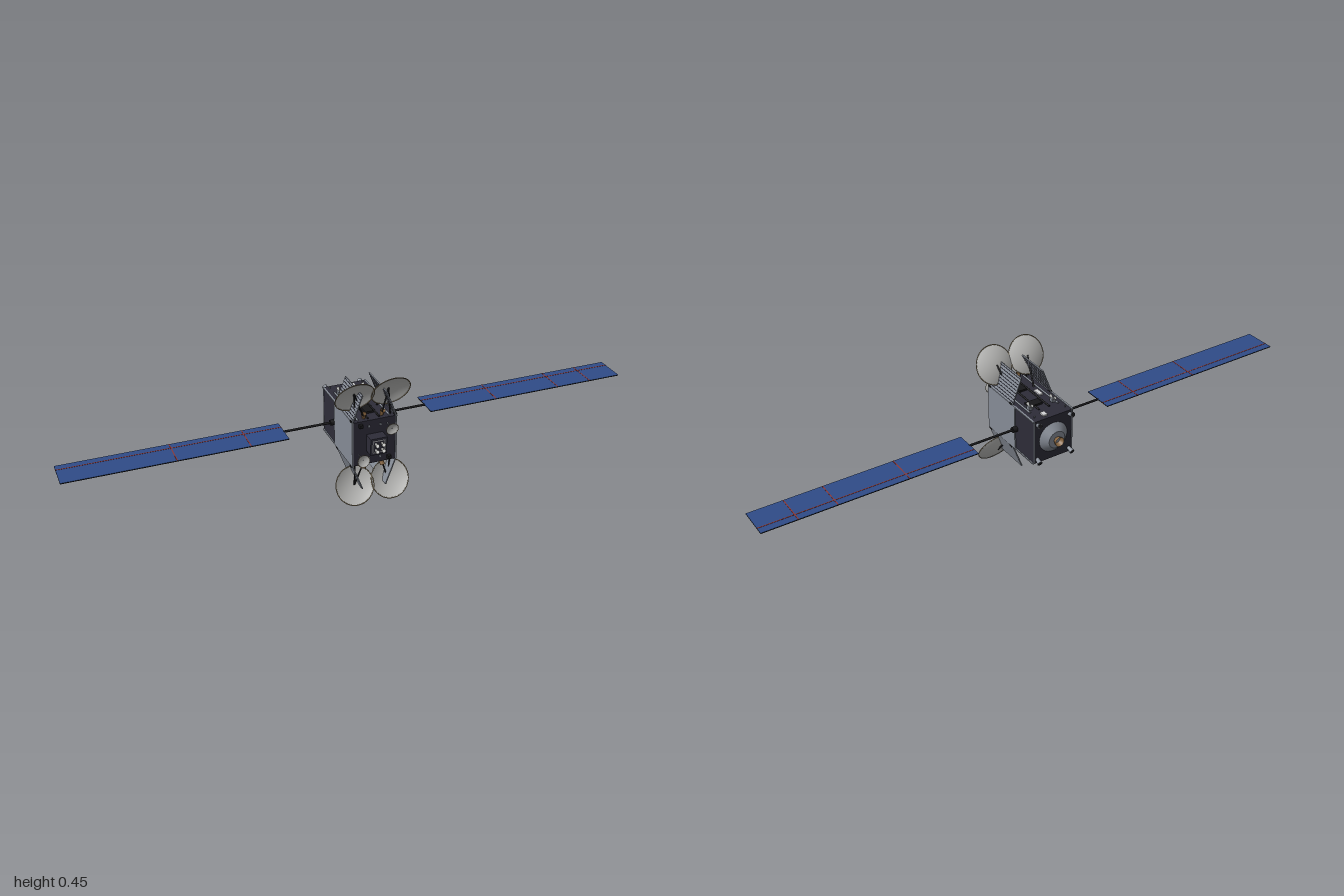
import * as THREE from 'three';

const mat = (name, color, double) => {
  const m = new THREE.MeshStandardMaterial({ color });
  m.name = name;
  if (double) m.side = THREE.DoubleSide;
  return m;
};

export function createModel() {
  const navy = mat('navy body', 0x2d2c38), grey = mat('radiator grey', 0x868c96);
  const black = mat('black', 0x18181a), blue = mat('solar blue', 0x2f4c88);
  const red = mat('red line', 0xa03428), dishMat = mat('dish grey', 0xbdbdbb, true);
  const tan = mat('rim tan', 0x8f8062), bronze = mat('engine bronze', 0x86643f, true);
  const white = mat('white fitting', 0xd4d4d6);

  const root = new THREE.Group();
  root.name = 'satellite';
  const CY = 0.226;
  const V = (x, y, z) => new THREE.Vector3(x, y, z);
  const UP = V(0, 1, 0);
  const add = (name, geo, m, x = 0, y = 0, z = 0, parent = root) => {
    const mesh = new THREE.Mesh(geo, m);
    mesh.name = name;
    mesh.position.set(x, y, z);
    parent.add(mesh);
    return mesh;
  };
  const box = (name, m, w, h, d, x, y, z, parent) =>
    add(name, new THREE.BoxGeometry(w, h, d), m, x, y, z, parent);
  // Round piece whose axis runs from a to b, with radius r0 at a and r1 at b
  const rod = (name, m, a, b, r0, r1 = r0, sides = 12, open = false) => {
    const d = b.clone().sub(a);
    const mesh = add(name, new THREE.CylinderGeometry(r1, r0, d.length(), sides, 1, open), m);
    mesh.position.copy(a).add(b).multiplyScalar(0.5);
    mesh.quaternion.setFromUnitVectors(UP, d.normalize());
    return mesh;
  };
  // Shallow reflector opening along the direction n
  const dish = (name, centre, n, r, depth, rim) => {
    const g = new THREE.Group();
    g.name = name;
    g.position.copy(centre);
    g.quaternion.setFromUnitVectors(UP, n.clone().normalize());
    const pts = [];
    for (let i = 0; i <= 8; i++) pts.push(new THREE.Vector2(r * i / 8, depth * ((i / 8) ** 2 - 1)));
    add('reflector', new THREE.LatheGeometry(pts, 40), dishMat, 0, 0, 0, g);
    add('rim', new THREE.TorusGeometry(r, rim, 6, 40), tan, 0, 0, 0, g).rotation.x = Math.PI / 2;
    root.add(g);
  };

  // Main body
  box('body', navy, 0.15, 0.162, 0.274, 0, CY, -0.007);
  for (const s of [-1, 1]) {
    box('sidePanel', grey, 0.005, 0.166, 0.165, s * 0.0765, CY, 0.049);
    for (const t of [-1, 1]) {
      box('sideTrim', grey, 0.006, 0.004, 0.11, s * 0.076, CY + t * 0.081, -0.088);
      box('backTrim', grey, 0.004, 0.162, 0.004, s * 0.074, CY, -0.143);
    }
  }

  // Equipment on the top and bottom faces
  for (const t of [-1, 1]) {
    const y = CY + t * 0.083;
    for (const x of [-0.055, -0.02, 0.02, 0.055])
      rod('pipe', x * x > 0.001 ? grey : black, V(x, y, -0.09), V(x, y, 0.12), 0.003);
    box('equipmentBox', black, 0.028, 0.01, 0.05, 0, y, 0.06);
    box('equipmentBox', black, 0.05, 0.01, 0.03, 0.015, y, -0.05);
    box('whiteUnit', white, 0.016, 0.006, 0.022, 0.022, y, -0.12);
    box('whiteUnit', white, 0.014, 0.006, 0.035, -0.037, y, 0.0);
    // Small thruster clusters
    for (const s of [-1, 1]) {
      const p = V(s * 0.045, CY + t * 0.09, -0.072);
      box('thrusterBase', grey, 0.014, 0.012, 0.016, p.x, p.y, p.z);
      for (const k of [-1, 1])
        rod('thruster', dishMat, p, V(p.x, CY + t * 0.103, p.z + k * 0.013), 0.002, 0.006, 12, true);
      rod('pin', grey, V(s * 0.06, y, -0.122), V(s * 0.06, CY + t * 0.092, -0.126), 0.002);
    }
  }

  // Inward-leaning radiator flaps, ribbed on the upper pair
  for (const s of [-1, 1]) for (const t of [-1, 1]) {
    const flap = new THREE.Group();
    flap.name = t > 0 ? 'upperFlap' : 'lowerFlap';
    flap.position.set(s * 0.076, CY + t * 0.083, 0.055);
    flap.rotation.z = s * t * 0.36;
    box('flapPlate', grey, 0.004, 0.098, 0.15, 0, t * 0.049, 0, flap);
    if (t > 0) for (let i = 0; i < 9; i++)
      box('flapRib', navy, 0.006, 0.0022, 0.146, 0, 0.008 + i * 0.0105, 0, flap);
    for (const z of [-0.065, 0.065]) box('hinge', black, 0.01, 0.005, 0.012, 0, 0, z, flap);
    root.add(flap);
  }

  // Four large reflectors with arms
  for (const s of [-1, 1]) for (const t of [-1, 1]) {
    const c = V(s * 0.063, CY + t * 0.165, 0.115);
    dish('mainReflector', c, V(0, -t * 0.447, 0.894), 0.067, 0.015, 0.0016);
    const hub = V(s * 0.06, CY + t * 0.17, 0.102);
    for (const x of [0.03, 0.062])
      rod('reflectorArm', black, V(s * x, CY + t * 0.081, 0.112), hub, 0.0025);
    rod('reflectorArm', black, V(s * 0.045, CY + t * 0.081, 0.04), hub, 0.003);
    rod('feedHorn', bronze, V(s * 0.03, CY + t * 0.078, 0.11), V(s * 0.034, CY + t * 0.102, 0.118), 0.004, 0.009, 12, true);
  }

  // Front feed block with horns
  box('feedBlock', navy, 0.058, 0.06, 0.038, 0, CY, 0.149);
  for (const s of [-1, 1]) {
    box('feedFrame', white, 0.044, 0.002, 0.002, 0, CY + s * 0.021, 0.1685);
    box('feedFrame', white, 0.002, 0.044, 0.002, s * 0.021, CY, 0.1685);
    for (const t of [-1, 1])
      rod('frontHorn', dishMat, V(s * 0.011, CY + t * 0.011, 0.166), V(s * 0.011, CY + t * 0.011, 0.184), 0.003, 0.007, 16, true);
    // Small front dishes on tripods
    const c = V(s * 0.05, CY + s * 0.05, 0.161);
    dish('smallDish', c, V(0, -s * 0.12, 1), 0.021, 0.006, 0.0008);
    for (let i = 0; i < 3; i++) {
      const a = i * Math.PI * 2 / 3;
      rod('dishLeg', grey, V(c.x + 0.012 * Math.cos(a), c.y + 0.012 * Math.sin(a), 0.129), V(c.x, c.y, 0.155), 0.0015);
    }
    box('frontSensor', black, 0.012, 0.012, 0.012, -s * 0.05, CY + s * 0.067, 0.135);
    for (const y of [-0.06, 0.06]) box('frontUnit', grey, 0.006, 0.006, 0.004, s * 0.02, CY + y, 0.131);
  }

  // Rear adapter cone and main engine
  rod('adapterCone', grey, V(0, CY, -0.143), V(0, CY, -0.166), 0.056, 0.031, 32);
  const bell = [[0.008, 0], [0.012, 0.006], [0.0155, 0.014], [0.017, 0.022]].map(p => new THREE.Vector2(...p));
  add('engineBell', new THREE.LatheGeometry(bell, 24), bronze, 0, CY, -0.161).rotation.x = -Math.PI / 2;
  for (const s of [-1, 1]) for (const t of [-1, 1]) {
    rod('cornerThruster', grey, V(s * 0.062, CY + t * 0.066, -0.142), V(s * 0.064, CY + t * 0.073, -0.163), 0.006, 0.009, 16);
    rod('thrusterMouth', black, V(s * 0.064, CY + t * 0.073, -0.163), V(s * 0.0641, CY + t * 0.0733, -0.164), 0.007, 0.007, 16);
  }

  // Solar wings
  for (const s of [-1, 1]) {
    const z = -0.039;
    rod('wingDrive', black, V(s * 0.074, CY, z), V(s * 0.092, CY, z), 0.01, 0.01, 20);
    rod('wingBoom', black, V(s * 0.09, CY, z), V(s * 0.258, CY, z), 0.004);
    const wing = box('solarWing', null, 0.745, 0.003, 0.113, s * 0.6275, CY + 0.001, z);
    wing.material = [black, black, blue, black, black, black];
    const top = CY + 0.0028;
    box('lengthLine', red, 0.745, 0.0008, 0.003, s * 0.6275, top, -0.068);
    for (const x of s > 0 ? [0.505, 0.75, 0.88] : [0.385, 0.63])
      box('crossLine', red, 0.003, 0.0008, 0.113, s * x, top, z);
  }
  return root;
}
